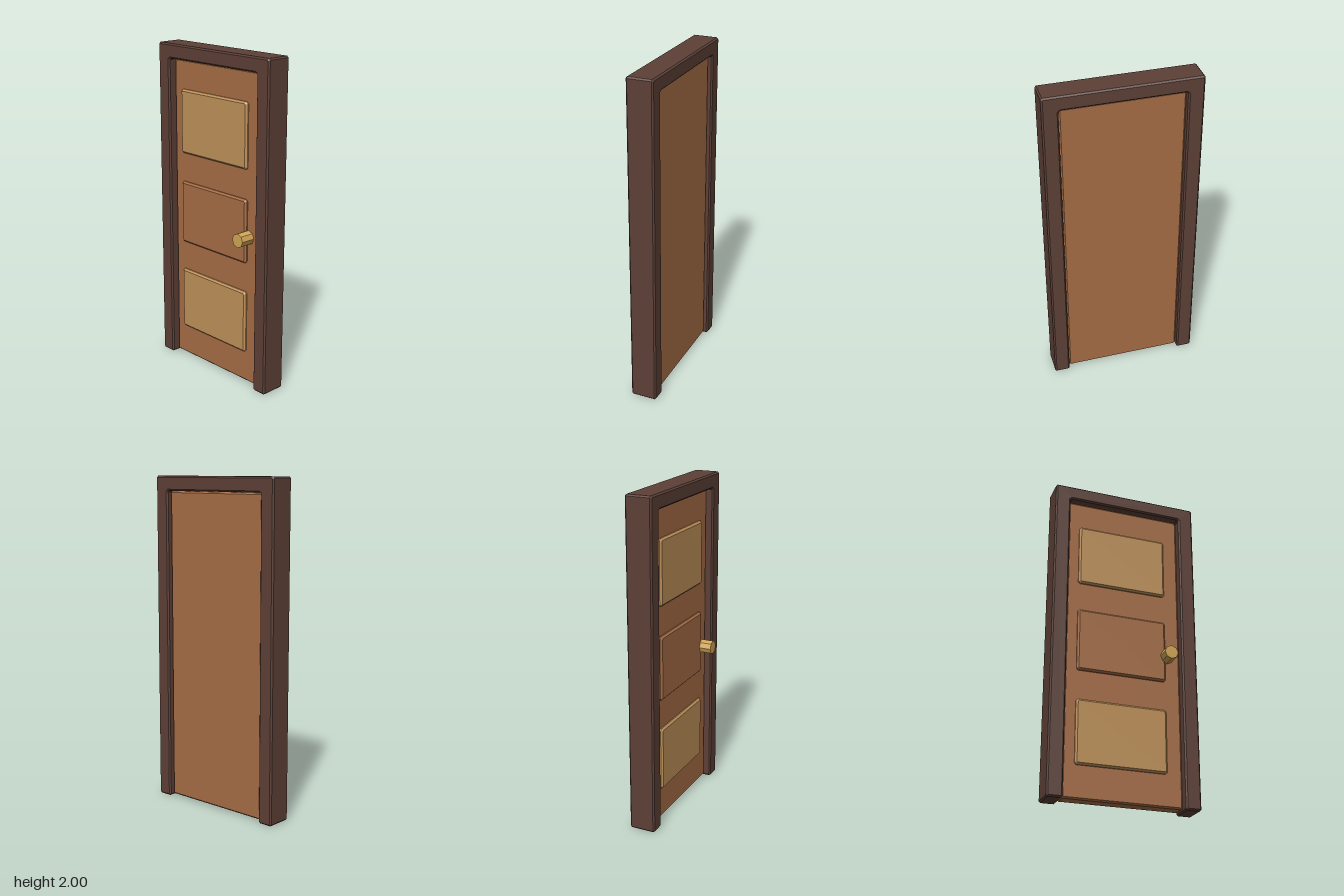
import * as THREE from 'three';

const mat = (name, color) => {
  const m = new THREE.MeshStandardMaterial({ color });
  m.name = name;
  return m;
};

// Outline through the points with every corner cut by c
function chamferedShape(points, c) {
  const pts = points.map(([x, y]) => new THREE.Vector2(x, y));
  const out = [];
  pts.forEach((p, i) => {
    const prev = pts[(i + pts.length - 1) % pts.length];
    const next = pts[(i + 1) % pts.length];
    for (const q of [prev, next]) {
      out.push(p.clone().add(q.clone().sub(p).setLength(c)));
    }
  });
  return new THREE.Shape(out);
}

// Slab between z0 and z1 with chamfered front and back edges
function slab(name, points, z0, z1, c, material) {
  const geo = new THREE.ExtrudeGeometry(chamferedShape(points, c), {
    depth: z1 - z0 - 2 * c,
    bevelEnabled: true,
    bevelThickness: c,
    bevelSize: c,
    bevelOffset: -c,
    bevelSegments: 1,
  });
  geo.translate(0, 0, z0 + c);
  const mesh = new THREE.Mesh(geo, material);
  mesh.name = name;
  return mesh;
}

const rect = (x0, y0, x1, y1) => [[x0, y0], [x1, y0], [x1, y1], [x0, y1]];

export function createModel() {
  const group = new THREE.Group();
  group.name = 'door';

  const darkWood = mat('darkWood', 0x5d4037);
  const doorWood = mat('doorWood', 0xa66d45);
  const lightWood = mat('lightWood', 0xbf9159);
  const brass = mat('brass', 0xd2a655);

  // Frame: two posts and a lintel in one piece
  const w = 0.457, inner = 0.363, top = 1.912;
  group.add(slab('frame', [
    [-w, 0], [-inner, 0], [-inner, top], [inner, top],
    [inner, 0], [w, 0], [w, 2], [-w, 2],
  ], -0.105, 0.055, 0.009, darkWood));

  // Door leaf
  group.add(slab('doorLeaf', rect(-0.36, 0.01, 0.36, 1.91), -0.08, 0.012, 0.009, doorWood));

  // Raised panels, lower to upper
  [['lowerPanel', 0.4, lightWood], ['middlePanel', 0.971, doorWood], ['upperPanel', 1.54, lightWood]]
    .forEach(([name, y, material]) => {
      group.add(slab(name, rect(-0.291, y - 0.195, 0.265, y + 0.195), -0.01, 0.03, 0.011, material));
    });

  // Eight-sided knob
  const knobGeo = new THREE.CylinderGeometry(0.0425, 0.0425, 0.098, 8).toNonIndexed();
  knobGeo.rotateX(Math.PI / 2);
  knobGeo.computeVertexNormals();
  const knob = new THREE.Mesh(knobGeo, brass);
  knob.name = 'knob';
  knob.position.set(0.274, 0.94, 0.054);
  group.add(knob);

  return group;
}
